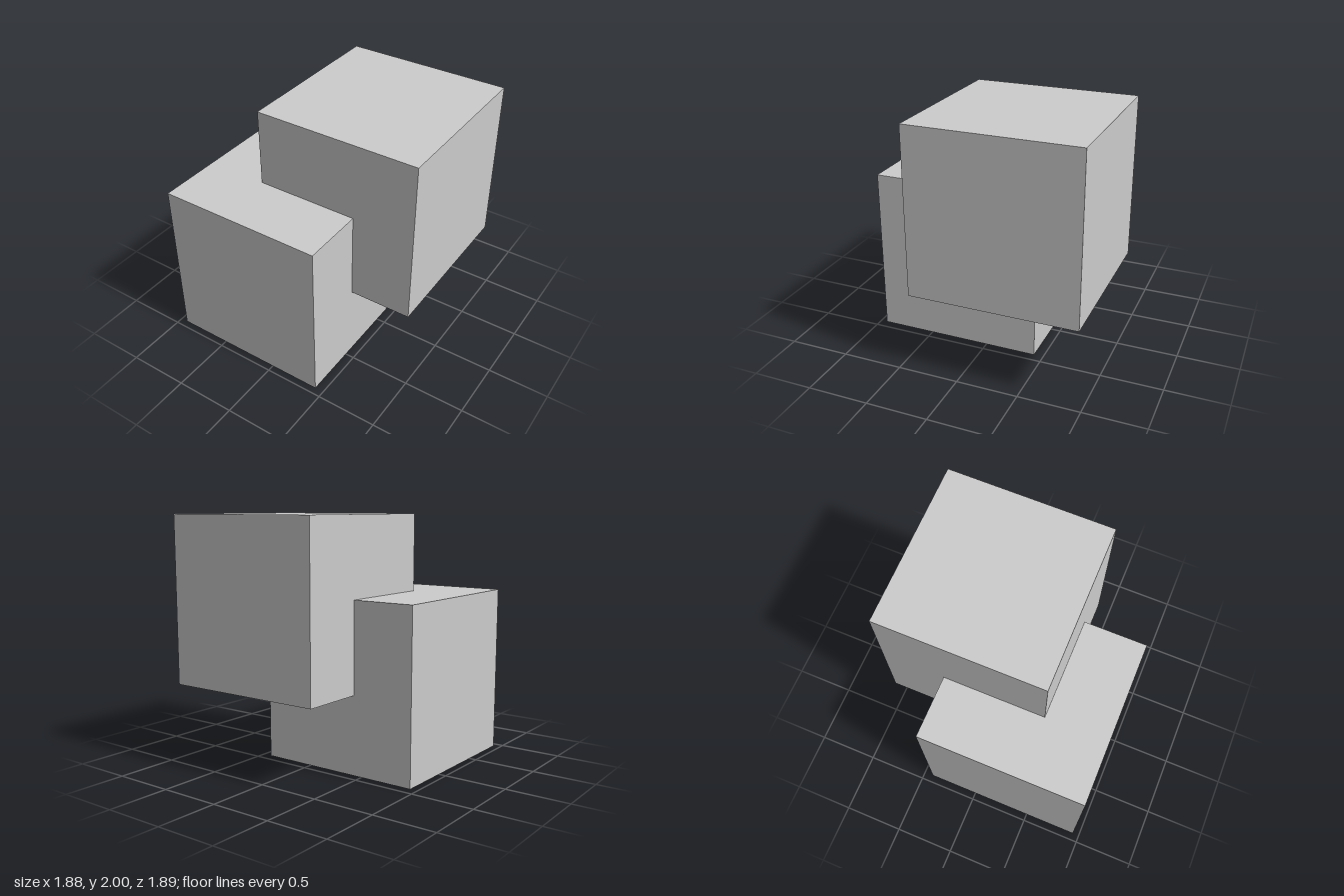
import * as THREE from 'three';

const SIZE = 1.366;

export function createModel() {
  const group = new THREE.Group();
  group.name = 'interlockingCubes';
  const material = new THREE.MeshStandardMaterial({ color: 0xcccccc, flatShading: true });

  const addCube = (name, x, y, z) => {
    const cube = new THREE.Mesh(new THREE.BoxGeometry(SIZE, SIZE, SIZE), material);
    cube.name = name;
    cube.position.set(x, y, z);
    group.add(cube);
  };

  // Two equal cubes overlapping at one corner
  addCube('lowerCube', -0.257, SIZE / 2, 0.261);
  addCube('upperCube', 0.256, 2 - SIZE / 2, -0.262);

  return group;
}
